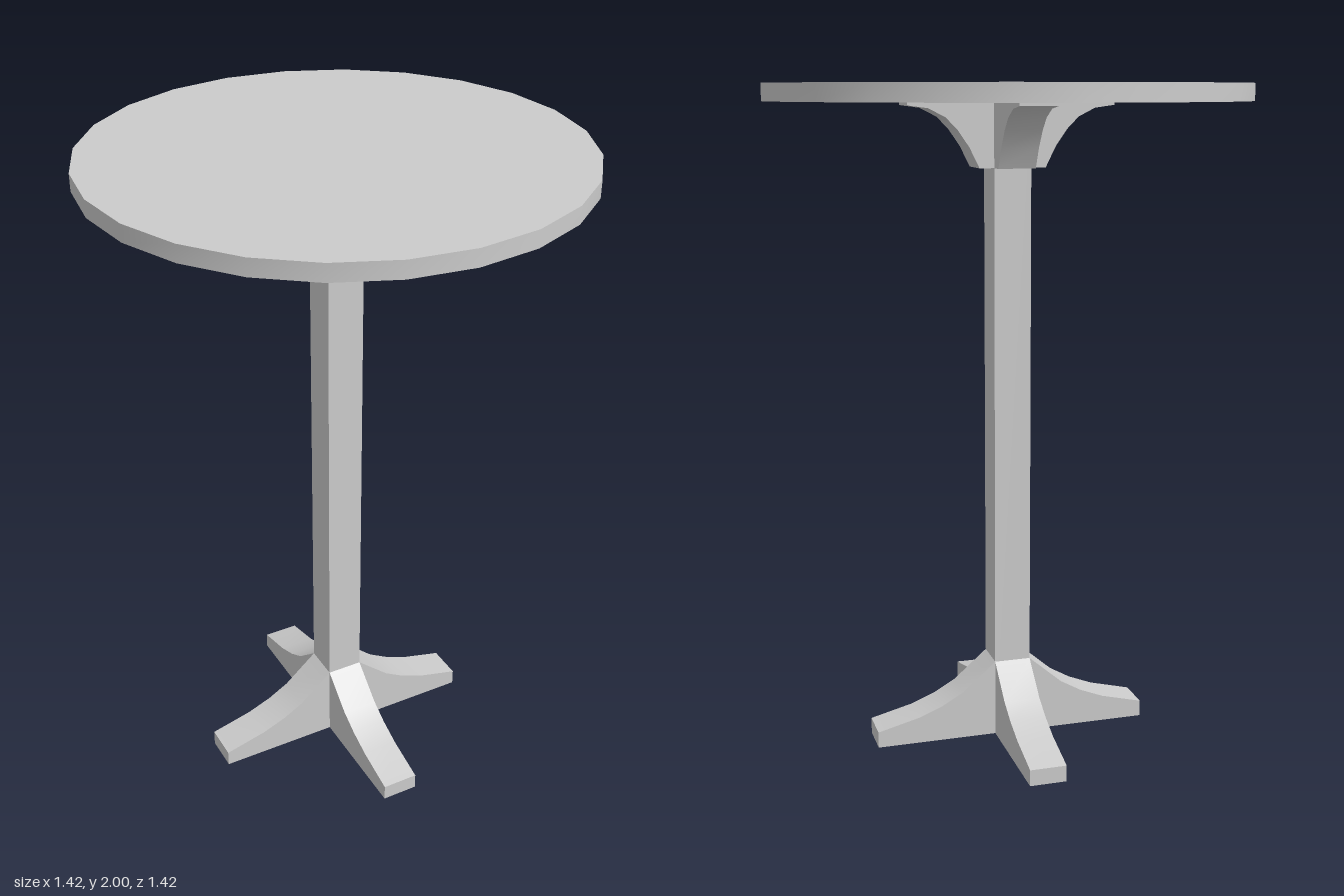
import * as THREE from 'three';
import { toCreasedNormals } from 'three/addons/utils/BufferGeometryUtils.js';

const HALF = 0.056; // half width of post, feet and brackets

// Extrude a side profile (x outward, y up) to the post's width, centred on z
function armGeometry(points) {
  const shape = new THREE.Shape(points.map(([x, y]) => new THREE.Vector2(x, y)));
  const geo = new THREE.ExtrudeGeometry(shape, { depth: HALF * 2, bevelEnabled: false });
  geo.translate(0, 0, -HALF);
  return toCreasedNormals(geo, 0.5);
}

export function createModel() {
  const group = new THREE.Group();
  const material = new THREE.MeshStandardMaterial({ color: 0xcccccc });
  const add = (name, geo, y = 0, turn = 0) => {
    const mesh = new THREE.Mesh(geo, material);
    mesh.name = name;
    mesh.position.y = y;
    mesh.rotation.y = turn;
    group.add(mesh);
  };

  // Round top and square post
  add('tableTop', toCreasedNormals(new THREE.CylinderGeometry(0.712, 0.712, 0.05, 24), 0.5), 1.975);
  add('post', new THREE.BoxGeometry(HALF * 2, 1.95, HALF * 2), 0.975);

  // Four sweeping feet and four curved brackets, starting at the post's faces
  const foot = armGeometry([
    [HALF, 0], [0.43, 0], [0.43, 0.05], [0.3, 0.083], [0.225, 0.113], [0.16, 0.15], [HALF, 0.24],
  ]);
  const bracket = armGeometry([
    [HALF, 1.76], [0.1, 1.76], [0.13, 1.82], [0.165, 1.87], [0.2, 1.905],
    [0.25, 1.93], [0.31, 1.938], [0.31, 1.95], [HALF, 1.95],
  ]);
  for (let i = 0; i < 4; i++) {
    add('foot', foot, 0, i * Math.PI / 2);
    add('bracket', bracket, 0, i * Math.PI / 2);
  }
  return group;
}
